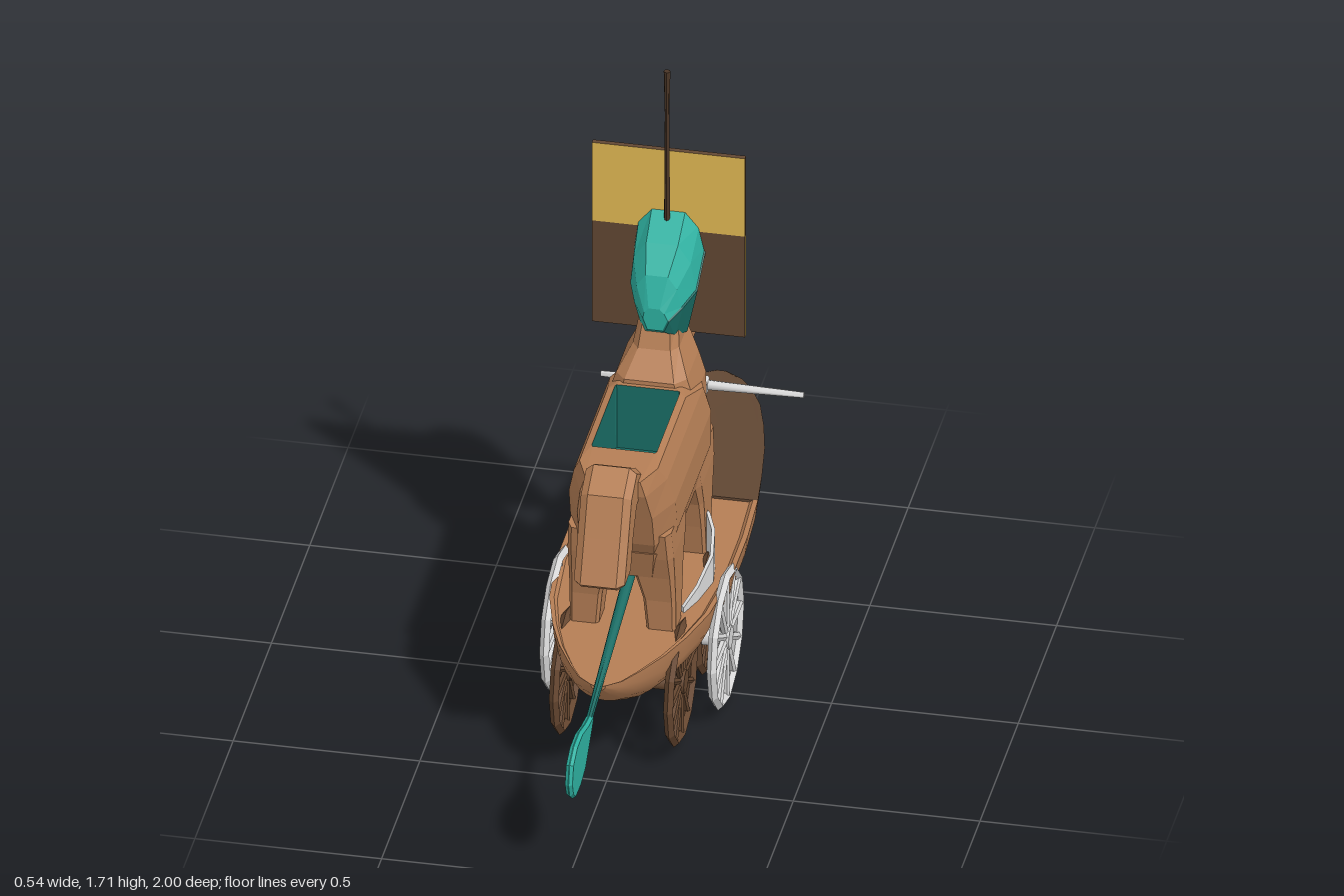
import * as THREE from 'three';
import { toCreasedNormals } from 'three/addons/utils/BufferGeometryUtils.js';

const V = (x, y, z) => new THREE.Vector3(x, y, z);
const paint = (name, color) => {
  const m = new THREE.MeshStandardMaterial({ color });
  m.name = name;
  return m;
};

// Skin over rings; each ring runs counterclockwise seen from the end of travel.
function loft(rings, { start = true, end = true, crease = 0 } = {}) {
  const pos = [];
  const tri = (...p) => p.forEach((v) => pos.push(v.x, v.y, v.z));
  const n = rings[0].length;
  for (let i = 0; i < rings.length - 1; i++) {
    for (let j = 0; j < n; j++) {
      const k = (j + 1) % n;
      tri(rings[i][j], rings[i][k], rings[i + 1][k]);
      tri(rings[i][j], rings[i + 1][k], rings[i + 1][j]);
    }
  }
  const cap = (r) => {
    const c = r.reduce((s, p) => s.add(p), V(0, 0, 0)).divideScalar(n);
    r.forEach((p, j) => tri(c, p, r[(j + 1) % n]));
  };
  if (start) cap([...rings[0]].reverse());
  if (end) cap(rings[rings.length - 1]);
  const g = new THREE.BufferGeometry();
  g.setAttribute('position', new THREE.Float32BufferAttribute(pos, 3));
  g.computeVertexNormals();
  return crease ? toCreasedNormals(g, crease) : g;
}

// Horizontal rectangle with cut corners.
function slab([y, zBack, zFront, x1, x0 = -x1], cut = 0.3) {
  const cx = (x1 - x0) / 2 * cut, cz = (zBack - zFront) / 2 * cut;
  return [
    V(x1, y, zBack - cz), V(x1, y, zFront + cz), V(x1 - cx, y, zFront), V(x0 + cx, y, zFront),
    V(x0, y, zFront + cz), V(x0, y, zBack - cz), V(x0 + cx, y, zBack), V(x1 - cx, y, zBack),
  ];
}
const slabs = (rows, cut) => loft(rows.map((r) => slab(r, cut)));

// Side outline of [z, y] points, given a width across x.
function sidePlate(points, width, bevel) {
  const g = new THREE.ExtrudeGeometry(new THREE.Shape(points.map(([z, y]) => new THREE.Vector2(z, y))), {
    depth: width - 2 * bevel, bevelEnabled: true, bevelThickness: bevel,
    bevelSize: bevel * 0.7, bevelOffset: -bevel * 0.7, bevelSegments: 1,
  });
  return g.translate(0, 0, -(width - 2 * bevel) / 2).rotateY(-Math.PI / 2);
}

// Straight rod between two points.
function rod(a, b, rA, rB = rA, sides = 8) {
  const d = b.clone().sub(a);
  const g = new THREE.CylinderGeometry(rB, rA, d.length(), sides);
  g.applyQuaternion(new THREE.Quaternion().setFromUnitVectors(V(0, 1, 0), d.clone().normalize()));
  const m = a.clone().add(b).multiplyScalar(0.5);
  return toCreasedNormals(g.translate(m.x, m.y, m.z), 0.9);
}

export function createModel() {
  const model = new THREE.Group();
  const tan = paint('tan wood', 0xb57e55), brown = paint('dark brown', 0x614733);
  const wheelBrown = paint('wheel brown', 0x664730), mastBrown = paint('mast brown', 0x4a3526);
  const grey = paint('light grey', 0xdadada), gold = paint('gold', 0xe2b953);
  const teal = paint('teal', 0x2eb1a1), deepTeal = paint('deep teal', 0x196c64);
  const add = (name, geo, mat, parent = model) => {
    const m = new THREE.Mesh(geo, mat);
    m.name = name;
    parent.add(m);
    return m;
  };

  // Boat hull: [z, half width, keel height]
  const stations = [
    [-1, 0.012, 0.345], [-0.97, 0.06, 0.32], [-0.92, 0.1, 0.285], [-0.85, 0.135, 0.245], [-0.75, 0.165, 0.205],
    [-0.64, 0.19, 0.183], [-0.5, 0.211, 0.18], [-0.38, 0.225, 0.18], [-0.2, 0.235, 0.18], [0, 0.235, 0.18],
    [0.2, 0.215, 0.18], [0.33, 0.18, 0.19], [0.43, 0.142, 0.215], [0.52, 0.095, 0.265], [0.58, 0.058, 0.315], [0.61, 0.02, 0.35],
  ];
  const hullRing = (drop) => ([z, w, keel]) => {
    const top = 0.367, deck = Math.max(top - drop, keel + 0.003);
    const r = [V(w, top, z), V(w * 0.94, top, z), V(w * 0.9, deck, z), V(-w * 0.9, deck, z), V(-w * 0.94, top, z), V(-w, top, z)];
    for (let i = 1; i < 12; i++) {
      const t = (i / 12) * Math.PI;
      r.push(V(-w * Math.cos(t), top - (top - keel) * Math.sin(t) ** 0.85, z));
    }
    return r;
  };
  add('bow', loft(stations.slice(0, 8).map(hullRing(0.001)), { crease: 0.6 }), brown);
  add('hull', loft(stations.slice(7).map(hullRing(0.008)), { crease: 0.6 }), tan);

  // Horse body with an open hatch in its back
  const hatchRim = slab([0.89, 0.275, -0.04, 0.087], 0.04);
  add('horseBody', loft([
    ...[[0.595, 0.325, -0.225, 0.128], [0.66, 0.365, -0.26, 0.143], [0.76, 0.395, -0.268, 0.143],
      [0.84, 0.42, -0.255, 0.125], [0.885, 0.42, -0.1, 0.105]].map((r) => slab(r)),
    hatchRim,
  ], { end: false }), tan);
  add('hatchInside', loft([hatchRim, slab([0.7, 0.27, -0.035, 0.085], 0.04)], { start: false }), deepTeal);
  add('neck', slabs([[0.72, -0.06, -0.262, 0.12], [0.84, -0.05, -0.268, 0.115], [0.9, -0.055, -0.272, 0.095],
    [0.96, -0.12, -0.29, 0.062], [1.03, -0.15, -0.36, 0.052], [1.14, -0.19, -0.44, 0.055]]), tan);
  add('head', slabs([[0.78, -0.425, -0.468, 0.03], [0.81, -0.405, -0.485, 0.04], [0.9, -0.378, -0.505, 0.043],
    [0.99, -0.35, -0.52, 0.05], [1.08, -0.3, -0.525, 0.058], [1.16, -0.25, -0.49, 0.06]]), tan);
  add('tail', sidePlate([[0.36, 0.89], [0.4, 0.915], [0.435, 0.935], [0.515, 0.89], [0.56, 0.785], [0.612, 0.67], [0.595, 0.655],
    [0.505, 0.66], [0.47, 0.75], [0.43, 0.81], [0.36, 0.83]], 0.136, 0.02), tan);
  add('rearHips', slabs([[0.53, 0.315, 0.2, 0.12], [0.62, 0.345, 0.14, 0.135]]), tan);
  add('shoulders', slabs([[0.53, -0.07, -0.21, 0.12], [0.62, -0.03, -0.24, 0.135]]), tan);
  for (const s of [1, -1]) {
    const leg = (rows) => slabs(rows.map(([y, a, b, xi, xo]) => (s > 0 ? [y, a, b, xo, xi] : [y, a, b, -xi, -xo])), 0.2);
    add('rearLeg', leg([[0.345, 0.295, 0.215, 0.065, 0.142], [0.45, 0.3, 0.19, 0.055, 0.142], [0.53, 0.315, 0.175, 0.035, 0.142], [0.6, 0.335, 0.14, 0.01, 0.142], [0.68, 0.35, 0.1, 0.01, 0.138]]), tan);
    add('frontLeg', leg([[0.345, -0.105, -0.18, 0.065, 0.142], [0.45, -0.085, -0.19, 0.055, 0.142], [0.53, -0.065, -0.212, 0.035, 0.142], [0.6, -0.03, -0.235, 0.01, 0.142], [0.68, 0, -0.245, 0.01, 0.138]]), tan);
  }

  // Mane crest: [z, top, bottom, half width]; its lower left side is darker
  const crest = [[-0.525, 1.15, 1.11, 0.025], [-0.5, 1.19, 1.08, 0.06], [-0.42, 1.255, 1.045, 0.083], [-0.315, 1.28, 1.06, 0.09],
    [-0.225, 1.222, 0.965, 0.085], [-0.155, 1.165, 0.99, 0.06], [-0.12, 1.085, 1.02, 0.03]];
  const crestRing = ([z, t, b, w]) => {
    const h = t - b;
    return [V(w + 0.006, b + h * 0.5, z), V(w * 0.9, b + h * 0.8, z), V(w * 0.5, t, z), V(-w * 0.5, t, z),
      V(-w * 0.9, b + h * 0.8, z), V(-w, b + h * 0.5, z), V(-w * 0.6, b, z), V(w * 0.75, b, z)];
  };
  add('maneCrest', loft(crest.map(crestRing)), teal);
  const cheek = crest.slice(2).map(crestRing).map((r) => {
    const lift = V(0.004, -0.003, 0);
    return [r[7], r[7].clone().add(lift), r[0].clone().add(lift), r[0]];
  });
  add('maneShade', loft(cheek), deepTeal);

  // Mast and two-tone flag with contrasting edges
  add('mast', rod(V(0, 0.345, -0.29), V(0, 1.6, -0.29), 0.013, 0.006), mastBrown);
  add('mastTip', rod(V(0, 1.58, -0.29), V(0, 1.715, -0.29), 0.006, 0.009), mastBrown);
  const flag = (name, h, y, edge, face) => add(name, new THREE.BoxGeometry(0.41, h, 0.015).translate(0, y, -0.315),
    [edge, edge, edge, edge, face, face]);
  flag('flagTop', 0.24, 1.34, brown, gold);
  flag('flagBottom', 0.31, 1.065, gold, brown);

  // Steering paddle
  add('paddleShaft', rod(V(0, 0.33, 0.74), V(0, 0.508, 0), 0.009, 0.019), deepTeal);
  add('paddleBlade', sidePlate([[1, 0.29], [0.985, 0.345], [0.93, 0.372], [0.86, 0.372], [0.78, 0.35], [0.71, 0.34],
    [0.71, 0.325], [0.77, 0.275], [0.82, 0.235], [0.88, 0.22], [0.95, 0.222], [0.985, 0.25]], 0.02, 0.009), teal);

  // Spoked wheels
  const wheel = (name, x, z, r, spoke, mat) => {
    const g = new THREE.Group();
    g.name = name;
    add('rim', toCreasedNormals(new THREE.TorusGeometry(r - 0.012, 0.013, 4, 12), 0.3), mat, g);
    add('hub', toCreasedNormals(new THREE.CylinderGeometry(0.032, 0.032, 0.03, 12).rotateX(Math.PI / 2), 0.9), mat, g);
    for (let i = 0; i < 12; i++) {
      const a = (i / 12) * Math.PI * 2;
      add('spoke', rod(V(0, 0, 0), V(Math.cos(a) * (r - 0.012), Math.sin(a) * (r - 0.012), 0), spoke, spoke, 6), mat, g);
    }
    g.rotation.y = Math.PI / 2;
    g.position.set(x, 0.2, z);
    model.add(g);
  };
  for (const s of [1, -1]) {
    wheel('greyWheel', s * 0.224, 0.04, 0.194, 0.011, grey);
    for (const z of [0.28, -0.09]) wheel('brownWheel', s * 0.153, z, 0.175, 0.009, wheelBrown);
  }
  add('greyAxle', rod(V(-0.23, 0.2, 0.04), V(0.23, 0.2, 0.04), 0.028), grey);
  add('greyAxlePlate', new THREE.BoxGeometry(0.16, 0.03, 0.16).translate(0, 0.182, 0.04), grey);
  for (const z of [0.28, -0.09]) add('brownAxle', rod(V(-0.16, 0.19, z), V(0.16, 0.19, z), 0.02), wheelBrown);

  // Low curved chariot wall: [x, z, top]
  const half = [[0.145, 0.2, 0.375], [0.17, 0.13, 0.4], [0.19, 0.03, 0.44], [0.178, -0.05, 0.47], [0.15, -0.12, 0.478], [0.09, -0.19, 0.478]];
  const wall = [...half, ...half.map(([x, z, y]) => [-x, z, y]).reverse()];
  add('chariotWall', loft(wall.map(([x, z, y]) => [
    V(x * 0.95, 0.335, z * 0.95), V(x * 0.95, y, z * 0.95), V(x, y, z), V(x, 0.335, z),
  ])), grey);

  // Handlebar on a bent stem that passes through the bow
  for (const s of [1, -1]) add('handlebar', rod(V(0, 0.473, -0.752), V(s * 0.272, 0.473, -0.752), 0.014, 0.008), grey);
  add('stem', sidePlate([[-0.65, 0.34], [-0.682, 0.455], [-0.71, 0.488], [-0.77, 0.49], [-0.77, 0.455], [-0.73, 0.452],
    [-0.712, 0.43], [-0.69, 0.34]], 0.032, 0.005), grey);
  add('stemFoot', new THREE.BoxGeometry(0.04, 0.008, 0.13).translate(0, 0.182, -0.58), grey);
  return model;
}
